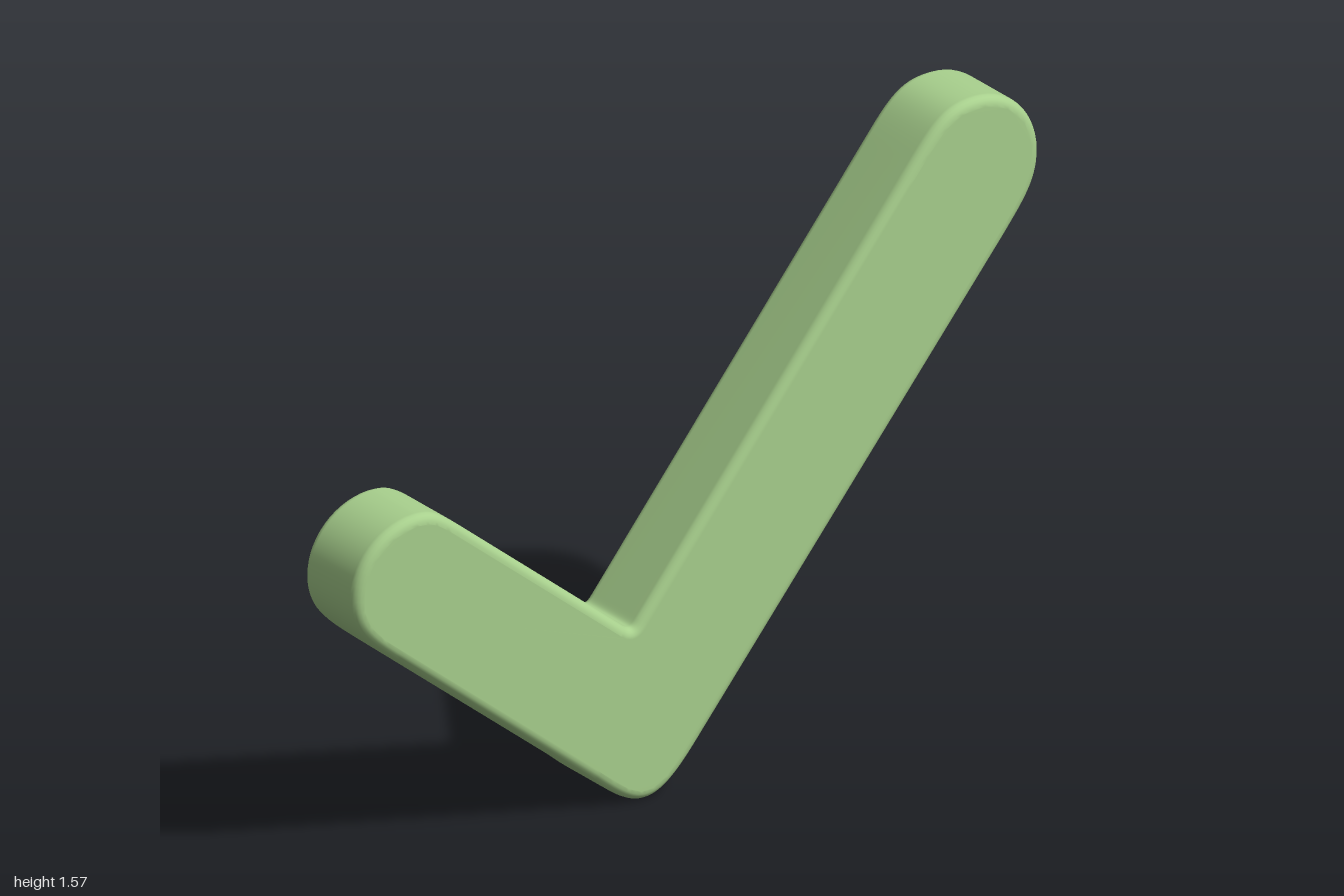
import * as THREE from 'three';
import { mergeVertices } from 'three/addons/utils/BufferGeometryUtils.js';

const DEPTH = 0.214;
const BEVEL = 0.025;

// Tick outline, counter-clockwise from the bottom of the elbow
function tickShape() {
  const s = new THREE.Shape();
  s.moveTo(-0.15, 0);
  s.bezierCurveTo(-0.09, 0, -0.04, 0.057, 0.02, 0.13);
  // long arm and its rounded end
  s.lineTo(0.9, 1.19);
  s.bezierCurveTo(0.96, 1.265, 1, 1.31, 1, 1.39);
  s.bezierCurveTo(1, 1.49, 0.92, 1.57, 0.82, 1.57);
  s.bezierCurveTo(0.72, 1.57, 0.69, 1.52, 0.6, 1.41);
  // small fillet in the notch
  s.lineTo(-0.165, 0.473);
  s.bezierCurveTo(-0.18, 0.455, -0.187, 0.445, -0.21, 0.465);
  // short arm and its rounded end
  s.lineTo(-0.69, 0.852);
  s.bezierCurveTo(-0.75, 0.9, -0.77, 0.91, -0.82, 0.91);
  s.bezierCurveTo(-0.92, 0.905, -1, 0.83, -1, 0.73);
  s.bezierCurveTo(-1, 0.65, -0.95, 0.61, -0.87, 0.545);
  // back down to the elbow
  s.lineTo(-0.31, 0.096);
  s.bezierCurveTo(-0.25, 0.045, -0.2, 0, -0.15, 0);
  return s;
}

export function createModel() {
  const group = new THREE.Group();
  group.name = 'checkMark';

  let geometry = new THREE.ExtrudeGeometry(tickShape(), {
    depth: DEPTH - 2 * BEVEL,
    bevelEnabled: true,
    bevelThickness: BEVEL,
    bevelSize: BEVEL,
    bevelOffset: -BEVEL,
    bevelSegments: 5,
    curveSegments: 14,
  });
  geometry.translate(0, 0, BEVEL - DEPTH / 2);

  // weld so the rounded rim shades smoothly
  geometry.deleteAttribute('normal');
  geometry.deleteAttribute('uv');
  geometry = mergeVertices(geometry, 1e-4);
  geometry.computeVertexNormals();

  const tick = new THREE.Mesh(geometry, new THREE.MeshStandardMaterial({ color: 0xa8d08d }));
  tick.name = 'tick';
  group.add(tick);
  return group;
}
